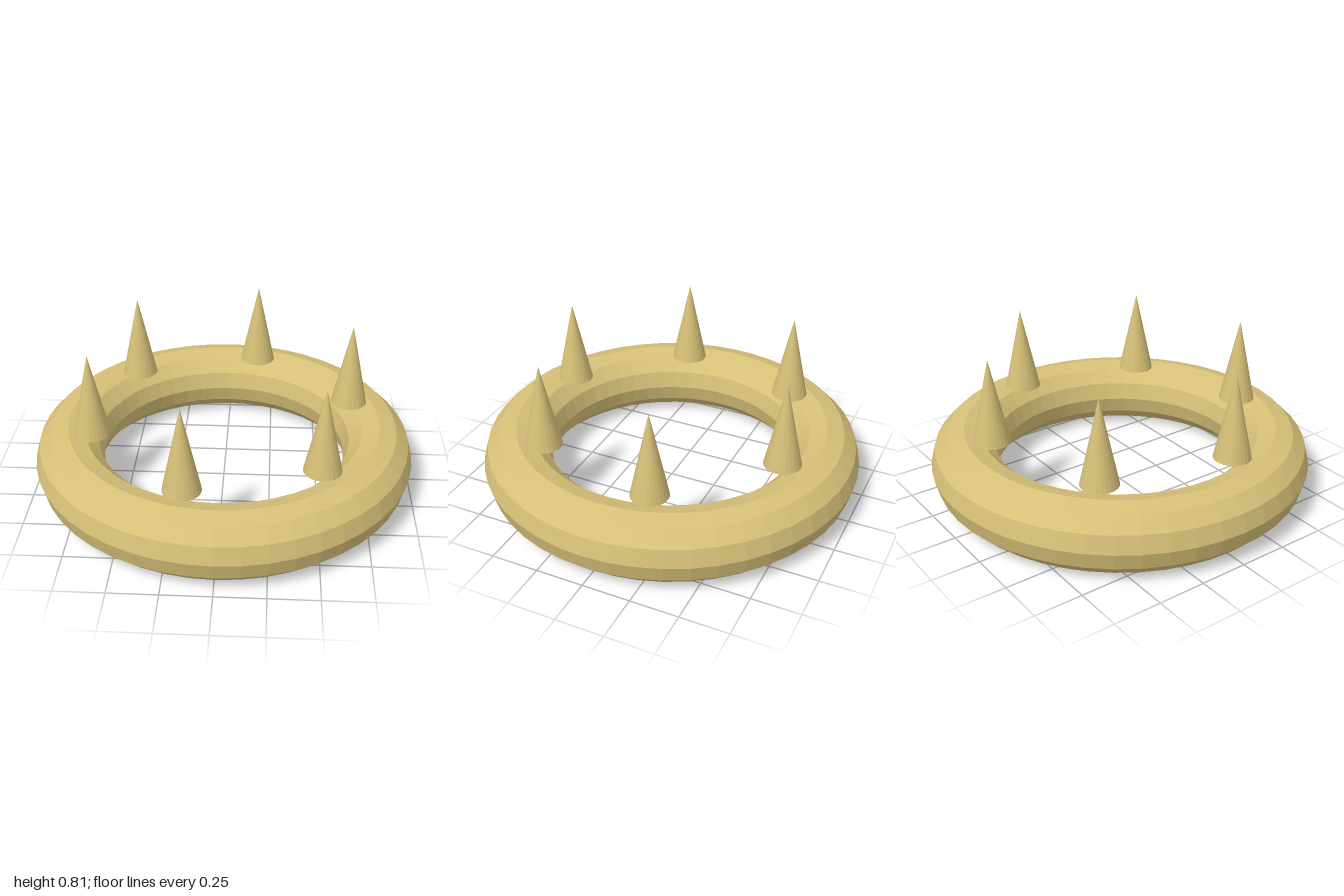
import * as THREE from 'three';

export function createModel() {
  const model = new THREE.Group();
  model.name = 'spikedRing';

  const gold = new THREE.MeshStandardMaterial({ color: 0xd6c078 });
  gold.name = 'pale gold';
  gold.flatShading = true;

  // Faceted ring lying flat
  const ring = new THREE.Mesh(new THREE.TorusGeometry(0.82, 0.18, 12, 48), gold);
  ring.name = 'ring';
  ring.rotation.x = -Math.PI / 2;
  ring.position.y = 0.18;
  model.add(ring);

  // Six spikes hovering just above the inner edge of the ring
  const spikeHeight = 0.445;
  const spikeGeometry = new THREE.ConeGeometry(0.096, spikeHeight, 24);
  const spikes = new THREE.Group();
  spikes.name = 'spikes';
  for (let i = 0; i < 6; i++) {
    const angle = THREE.MathUtils.degToRad(16.4 + i * 60);
    const spike = new THREE.Mesh(spikeGeometry, gold);
    spike.name = 'spike' + (i + 1);
    spike.position.set(0.697 * Math.cos(angle), 0.369 + spikeHeight / 2, -0.697 * Math.sin(angle));
    spikes.add(spike);
  }
  model.add(spikes);

  return model;
}
